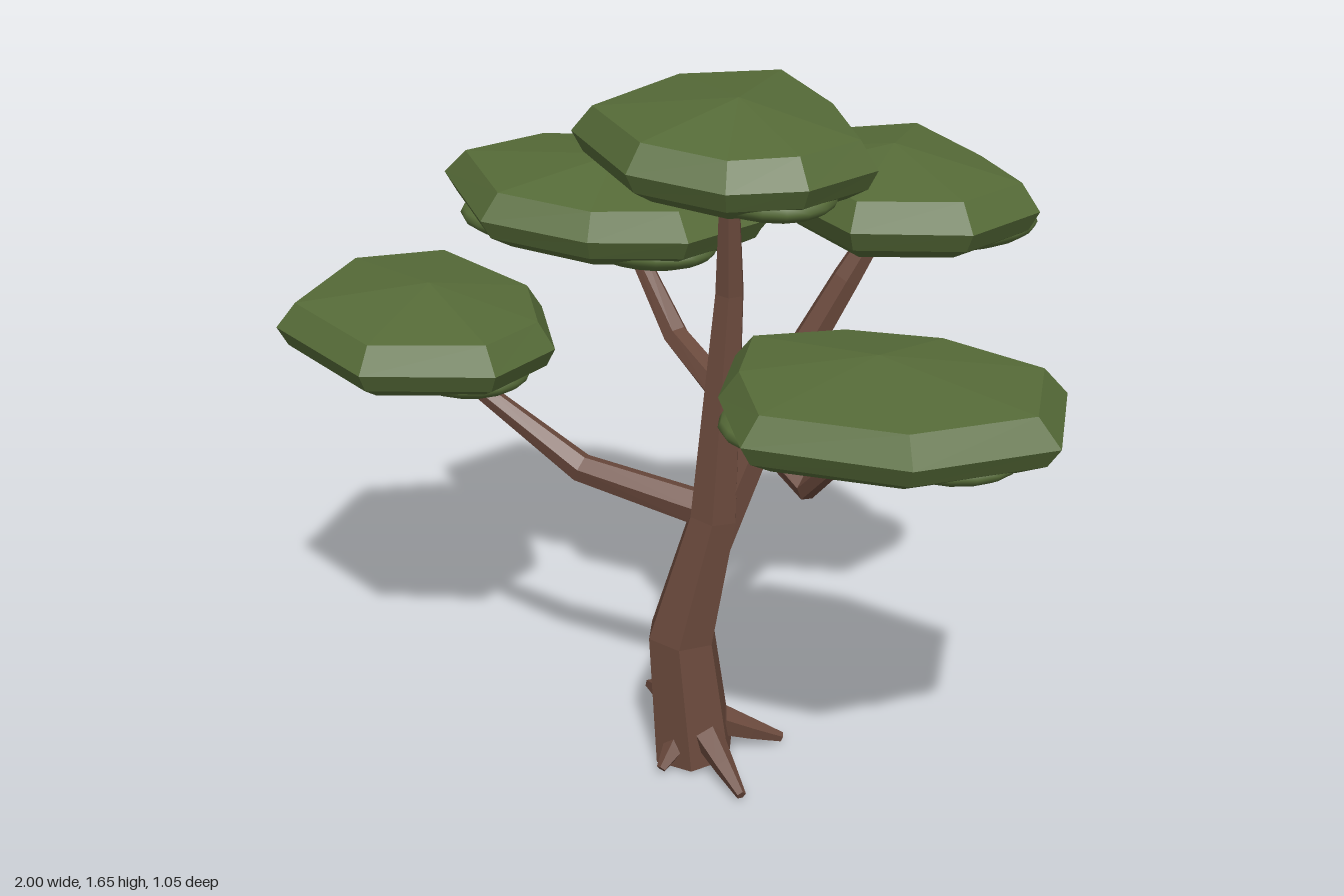
import * as THREE from 'three';

const bark = new THREE.MeshStandardMaterial({ color: 0x6b4a3d });
bark.name = 'bark brown';
const leaf = new THREE.MeshStandardMaterial({ color: 0x566b38 });
leaf.name = 'leaf green';

// Flat-shaded skin over a list of equal-length rings, closed at both ends by centre points
function skin(rings, first, last) {
  const pos = [];
  const tri = (a, b, c) => [a, b, c].forEach((p) => pos.push(p.x, p.y, p.z));
  const n = rings[0].length;
  for (let i = 0; i < n; i++) {
    const j = (i + 1) % n;
    tri(first, rings[0][j], rings[0][i]);
    for (let k = 0; k < rings.length - 1; k++) {
      const a = rings[k], b = rings[k + 1];
      tri(a[i], a[j], b[j]);
      tri(a[i], b[j], b[i]);
    }
    const top = rings[rings.length - 1];
    tri(top[i], top[j], last);
  }
  const g = new THREE.BufferGeometry();
  g.setAttribute('position', new THREE.Float32BufferAttribute(pos, 3));
  g.computeVertexNormals();
  return g;
}

// Tapered limb through [x, y, z, radius] points
function limb(name, points, sides = 6) {
  const p = points.map((q) => new THREE.Vector3(q[0], q[1], q[2]));
  const up = new THREE.Vector3(0, 1, 0);
  const rings = p.map((c, k) => {
    const dir = p[Math.min(k + 1, p.length - 1)].clone().sub(p[Math.max(k - 1, 0)]).normalize();
    const turn = new THREE.Quaternion().setFromUnitVectors(up, dir);
    return Array.from({ length: sides }, (_, i) => {
      const a = -(i / sides) * Math.PI * 2;
      return new THREE.Vector3(Math.cos(a), 0, Math.sin(a))
        .multiplyScalar(points[k][3]).applyQuaternion(turn).add(c);
    });
  });
  const mesh = new THREE.Mesh(skin(rings, p[0], p[p.length - 1]), bark);
  mesh.name = name;
  return mesh;
}

// Flat leaf pad: faceted dome from an [x, z] outline, with smooth lumps beneath
function canopy(name, y, outline, lumps) {
  const group = new THREE.Group();
  group.name = name;
  const n = outline.length;
  const cx = outline.reduce((s, p) => s + p[0], 0) / n;
  const cz = outline.reduce((s, p) => s + p[1], 0) / n;
  const ring = (scale, dy) => outline.map(([x, z], i) => new THREE.Vector3(
    cx + (x - cx) * scale, y + dy + 0.008 * Math.sin(i * 2.4), cz + (z - cz) * scale));
  const rings = [ring(0.78, -0.075), ring(0.93, -0.045), ring(1, 0), ring(0.87, 0.06)];
  const pad = new THREE.Mesh(skin(rings,
    new THREE.Vector3(cx, y - 0.08, cz), new THREE.Vector3(cx, y + 0.105, cz)), leaf);
  pad.name = name + 'Pad';
  group.add(pad);
  for (const [x, z, rx, rz, turn] of lumps) {
    const lump = new THREE.Mesh(new THREE.SphereGeometry(1, 20, 12), leaf);
    lump.name = name + 'Lump';
    lump.scale.set(rx, 0.05, rz);
    lump.position.set(x, y - 0.055, z);
    lump.rotation.y = turn;
    group.add(lump);
  }
  return group;
}

export function createModel() {
  const tree = new THREE.Group();
  tree.name = 'tree';

  // Trunk and main limbs
  tree.add(
    limb('trunk', [[0.05, 0.01, 0.095, 0.1], [0.025, 0.33, 0.11, 0.085], [0.095, 0.65, 0.08, 0.06],
      [0.125, 1.2, 0.065, 0.035], [0.14, 1.42, 0.09, 0.025], [0.14, 1.49, 0.1, 0.02]]),
    limb('backLimb', [[0.09, 0.58, 0.075, 0.05], [0.19, 0.92, -0.01, 0.043],
      [0.32, 1.22, -0.11, 0.033], [0.39, 1.38, -0.17, 0.022]]),
    limb('lowerRightBranch', [[0.1, 0.655, 0.08, 0.045], [-0.23, 0.71, 0.15, 0.035],
      [-0.47, 0.89, 0.23, 0.022], [-0.53, 0.96, 0.26, 0.014]]),
    limb('upperRightBranch', [[0.12, 0.95, 0.07, 0.035], [-0.09, 1.01, -0.04, 0.031],
      [-0.21, 1.18, -0.06, 0.022], [-0.26, 1.27, -0.07, 0.014]]),
    limb('leftBranch', [[0.12, 0.93, 0.05, 0.032], [0.37, 0.81, 0.12, 0.031],
      [0.53, 0.98, 0.19, 0.022], [0.58, 1.05, 0.21, 0.014]]),
  );

  // Twigs forking into the leaf pads
  for (const [x, y, z] of [[0.14, 1.4, 0.09], [0.36, 1.31, -0.14], [-0.46, 0.88, 0.22],
    [-0.2, 1.16, -0.06], [0.52, 0.97, 0.185]]) {
    for (const s of [-1, 1]) {
      tree.add(limb('twig', [[x, y, z, 0.016], [x + s * 0.015, y + 0.09, z + s * 0.05, 0.01]], 5));
    }
  }

  // Roots
  for (const [x, z] of [[-0.21, -0.09], [0.26, 0.21], [0.2, -0.06], [0.04, 0.22]]) {
    const mx = 0.05 + (x - 0.05) * 0.3, mz = 0.095 + (z - 0.095) * 0.3;
    tree.add(limb('root', [[mx, 0.085, mz, 0.038],
      [(mx + x) / 2, 0.05, (mz + z) / 2, 0.026], [x, 0.017, z, 0.012]], 5));
  }

  // Leaf pads
  tree.add(
    canopy('lowerRightCanopy', 1.0,
      [[-1, 0.07], [-0.9, 0.43], [-0.57, 0.52], [-0.29, 0.38], [-0.29, 0.16], [-0.48, -0.04], [-0.82, -0.1]],
      [[-0.72, 0.22, 0.2, 0.17, 0.3], [-0.5, 0.24, 0.19, 0.15, -0.4]]),
    canopy('upperRightCanopy', 1.3,
      [[-0.73, 0], [-0.43, 0.24], [-0.17, 0.19], [0.04, 0.1], [0.09, -0.14], [-0.04, -0.4], [-0.36, -0.37], [-0.66, -0.26]],
      [[-0.45, -0.02, 0.2, 0.16, 0.3], [-0.17, -0.2, 0.2, 0.18, 0.8], [-0.15, 0.0, 0.18, 0.13, 0]]),
    canopy('topCanopy', 1.55,
      [[-0.2, 0.2], [0.08, 0.39], [0.3, 0.35], [0.45, 0.27], [0.49, 0.06], [0.28, -0.16], [0.04, -0.3], [-0.19, -0.17]],
      [[0.04, 0.05, 0.19, 0.16, 0.4], [0.25, 0.14, 0.21, 0.15, -0.5]]),
    canopy('backCanopy', 1.4,
      [[0.08, -0.2], [0.17, -0.04], [0.42, 0.05], [0.66, -0.05], [0.7, -0.28], [0.51, -0.42], [0.26, -0.53], [0.08, -0.42]],
      [[0.3, -0.22, 0.18, 0.16, 0.3], [0.5, -0.26, 0.19, 0.14, 0.8]]),
    canopy('leftCanopy', 1.09,
      [[0.19, 0.14], [0.29, 0.36], [0.45, 0.52], [0.81, 0.45], [1, 0.18], [0.88, -0.09], [0.6, -0.09], [0.35, -0.04]],
      [[0.46, 0.24, 0.21, 0.17, 0.7], [0.72, 0.18, 0.2, 0.16, -0.4]]),
  );
  return tree;
}
